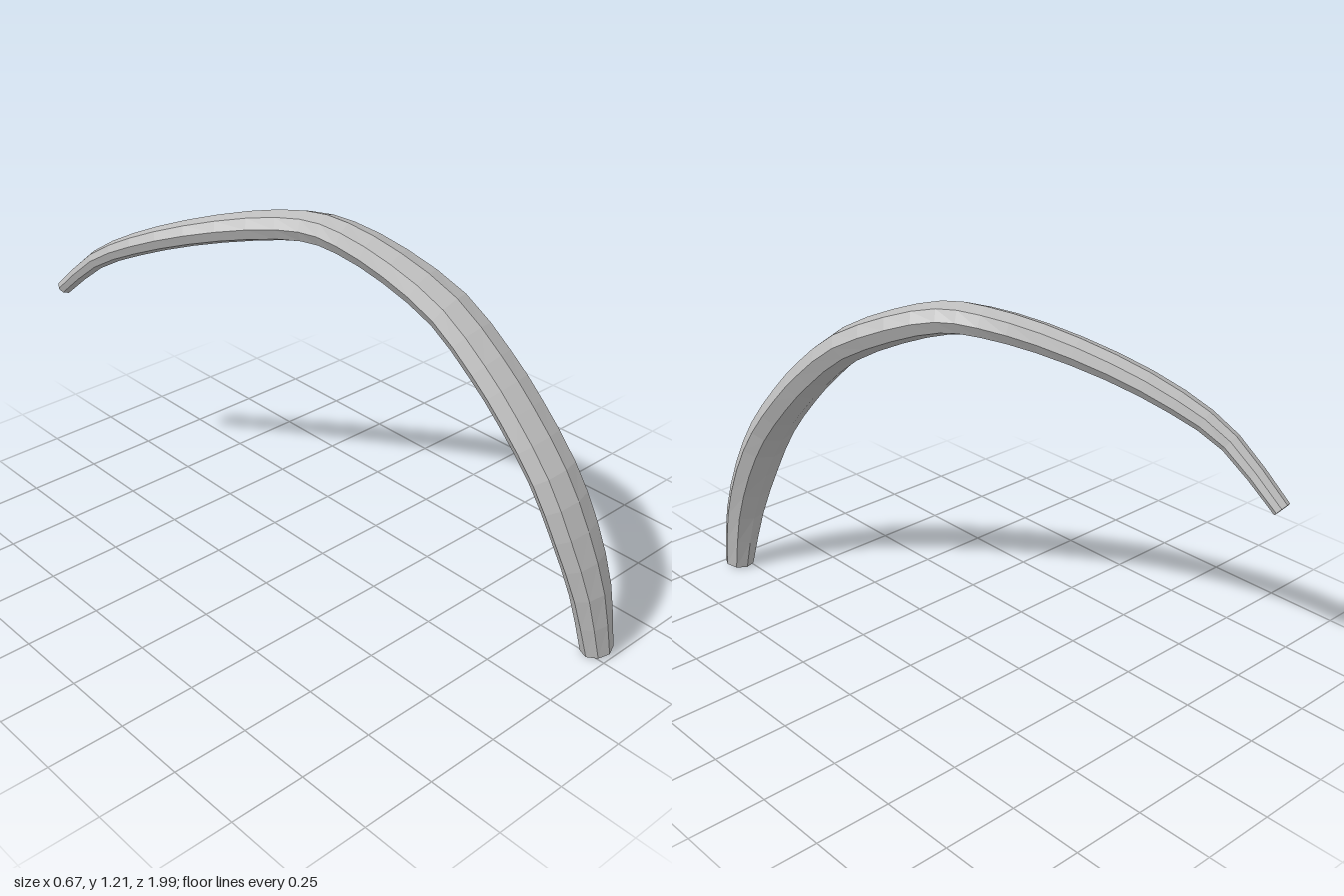
import * as THREE from 'three';

const SIDES = 8, RINGS = 28;

// Each station: centre x, y, z, then width across and thickness
const STATIONS = [
  [0.28, 0.012, 0.947, 0.105, 0.10],
  [0.26, 0.225, 0.914, 0.150, 0.11],
  [0.237, 0.42, 0.85, 0.180, 0.115],
  [0.218, 0.59, 0.765, 0.180, 0.12],
  [0.205, 0.745, 0.64, 0.177, 0.12],
  [0.19, 0.866, 0.524, 0.172, 0.12],
  [0.168, 0.995, 0.37, 0.165, 0.115],
  [0.12, 1.09, 0.19, 0.145, 0.11],
  [0.065, 1.148, 0.03, 0.125, 0.105],
  [0.02, 1.158, -0.10, 0.112, 0.10],
  [-0.06, 1.132, -0.26, 0.102, 0.095],
  [-0.155, 1.075, -0.455, 0.098, 0.085],
  [-0.235, 1.0, -0.64, 0.090, 0.075],
  [-0.287, 0.91, -0.80, 0.070, 0.062],
  [-0.31, 0.757, -0.98, 0.060, 0.05],
];

// Sweeps a flattened octagon along the curve, with its wide axis kept sideways
function taperedSweep() {
  const path = new THREE.CatmullRomCurve3(
    STATIONS.map(s => new THREE.Vector3(s[0], s[1], s[2])), false, 'catmullrom');
  const sizes = new THREE.CatmullRomCurve3(
    STATIONS.map(s => new THREE.Vector3(s[3], s[4], 0)), false, 'catmullrom');
  const positions = [], index = [];

  for (let i = 0; i <= RINGS; i++) {
    const u = i / RINGS;
    const centre = path.getPoint(u), size = sizes.getPoint(u), along = path.getTangent(u);
    const side = new THREE.Vector3(1, 0, 0).addScaledVector(along, -along.x).normalize();
    const normal = along.clone().cross(side);
    for (let j = 0; j < SIDES; j++) {
      const a = j / SIDES * Math.PI * 2;
      const p = centre.clone()
        .addScaledVector(side, Math.cos(a) * size.x / 2)
        .addScaledVector(normal, Math.sin(a) * size.y / 2);
      positions.push(p.x, p.y, p.z);
    }
  }

  // Side walls
  for (let i = 0; i < RINGS; i++) {
    for (let j = 0; j < SIDES; j++) {
      const k = (j + 1) % SIDES;
      const a = i * SIDES + j, b = i * SIDES + k;
      index.push(a, b, b + SIDES, a, b + SIDES, a + SIDES);
    }
  }
  // End caps
  const last = RINGS * SIDES;
  for (let j = 1; j < SIDES - 1; j++) {
    index.push(0, j + 1, j, last, last + j, last + j + 1);
  }

  const indexed = new THREE.BufferGeometry();
  indexed.setAttribute('position', new THREE.Float32BufferAttribute(positions, 3));
  indexed.setIndex(index);
  const geometry = indexed.toNonIndexed();
  geometry.computeVertexNormals();
  return geometry;
}

export function createModel() {
  const model = new THREE.Group();
  model.name = 'curvedHorn';
  const grey = new THREE.MeshStandardMaterial({ color: 0xbcbcbc, flatShading: true });
  grey.name = 'plainGrey';
  const horn = new THREE.Mesh(taperedSweep(), grey);
  horn.name = 'hornBody';
  model.add(horn);
  return model;
}
